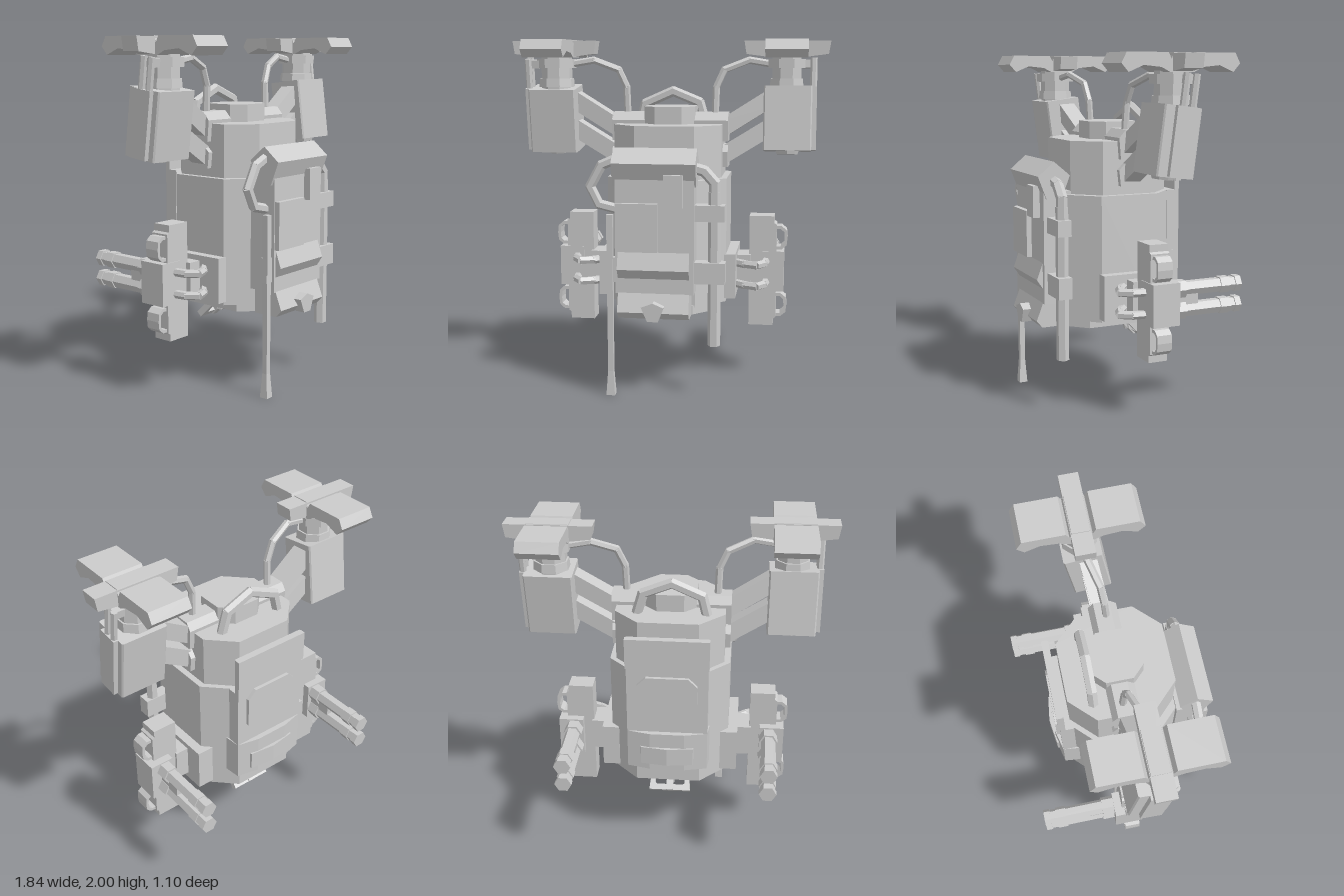
import * as THREE from 'three';

const grey = new THREE.MeshStandardMaterial({ color: 0xcccccc });
grey.name = 'plain grey';

// Faceted mesh with hard edges
function add(parent, name, geo, x = 0, y = 0, z = 0) {
  const g = geo.index ? geo.toNonIndexed() : geo;
  g.computeVertexNormals();
  const m = new THREE.Mesh(g, grey);
  m.name = name;
  m.position.set(x, y, z);
  parent.add(m);
  return m;
}

// Box given by its limits
function box(parent, name, x0, x1, y0, y1, z0, z1) {
  return add(parent, name, new THREE.BoxGeometry(x1 - x0, y1 - y0, z1 - z0),
    (x0 + x1) / 2, (y0 + y1) / 2, (z0 + z1) / 2);
}

const poly = pts => new THREE.Shape(pts.map(p => new THREE.Vector2(p[0], p[1])));
const extrude = (shape, depth) => new THREE.ExtrudeGeometry(shape, { depth, bevelEnabled: false });

// Rectangle with cut corners
const cutRect = (w, h, c) => [[-w + c, -h], [w - c, -h], [w, -h + c], [w, h - c],
  [w - c, h], [-w + c, h], [-w, h - c], [-w, -h + c]];

// Outline in (x, -z) raised from y0 to y1
const upright = (pts, y0, y1) => extrude(poly(pts), y1 - y0).rotateX(-Math.PI / 2).translate(0, y0, 0);

// Outline in (z, y) swept from x0 to x1
const sideways = (pts, x0, x1) => extrude(poly(pts), x1 - x0).rotateY(-Math.PI / 2).translate(x1, 0, 0);

// Rod between two points, flat side forward
function rod(parent, name, a, b, r0, r1 = r0, sides = 6) {
  const p = new THREE.Vector3(...a), q = new THREE.Vector3(...b), d = q.clone().sub(p);
  const m = add(parent, name, new THREE.CylinderGeometry(r1, r0, d.length(), sides, 1, false, Math.PI / sides));
  m.position.copy(p).add(q).multiplyScalar(0.5);
  m.quaternion.setFromUnitVectors(new THREE.Vector3(0, 1, 0), d.normalize());
}

// Angular hose made of straight lengths that overlap at the bends
function hose(parent, name, pts, r) {
  const g = new THREE.Group();
  g.name = name;
  parent.add(g);
  for (let i = 1; i < pts.length; i++) {
    const a = new THREE.Vector3(...pts[i - 1]), b = new THREE.Vector3(...pts[i]);
    const over = b.clone().sub(a).setLength(r * 0.3);
    rod(g, name + 'Length', a.sub(over).toArray(), b.add(over).toArray(), r);
  }
}

function buildBody(root) {
  const g = new THREE.Group();
  g.name = 'body';
  root.add(g);
  add(g, 'lowerBody', upright(cutRect(0.345, 0.335, 0.16), 0.5, 1.22), 0, 0, 0.015);
  add(g, 'upperBody', upright(cutRect(0.31, 0.3, 0.14), 1.2, 1.52), 0, 0, 0.005);
  add(g, 'basePlate', upright(cutRect(0.29, 0.3, 0.12), 0.46, 0.51), 0, 0, 0.06);
  add(g, 'topCap', upright(cutRect(0.148, 0.145, 0.07), 1.5, 1.62));
  // Shoulder axles
  for (const x of [-0.34, 0.14]) {
    add(g, 'upperShoulderAxle', sideways([[-0.07, 1.42], [0.07, 1.42], [0.08, 1.54], [0.04, 1.585], [-0.05, 1.585], [-0.08, 1.54]], x, x + 0.2));
    add(g, 'lowerShoulderAxle', sideways([[-0.07, 1.27], [0.07, 1.27], [0.08, 1.36], [0.04, 1.4], [-0.05, 1.4], [-0.08, 1.36]], x, x + 0.2));
  }
  hose(g, 'carryHandle', [[-0.21, 1.5, -0.16], [-0.18, 1.625, -0.16], [-0.01, 1.7, -0.16], [0.15, 1.635, -0.16], [0.19, 1.5, -0.16]], 0.03);
  // Back armour
  const back = new THREE.Group();
  back.name = 'backArmour';
  g.add(back);
  box(back, 'backPlate', -0.23, 0.23, 0.86, 1.45, -0.36, -0.33);
  box(back, 'backPlateBase', -0.23, 0.23, 0.86, 1.22, -0.34, -0.28);
  box(back, 'backPlateTop', -0.235, 0.235, 1.27, 1.45, -0.37, -0.335);
  add(back, 'raisedPanel', extrude(poly(cutRect(0.17, 0.14, 0.05)), 0.03), 0, 1.08, -0.38);
  add(back, 'lowerBelt', upright([[-0.24, 0.26], [0.24, 0.26], [0.23, 0.36], [0.1, 0.39], [-0.1, 0.39], [-0.23, 0.36]], 0.62, 0.86));
  add(back, 'beltRib', upright([[-0.17, 0.3], [0.17, 0.3], [0.15, 0.39], [0, 0.41], [-0.15, 0.39]], 0.66, 0.77));
  // Towing hitch under the base
  const hitch = new THREE.Group();
  hitch.name = 'hitch';
  hitch.position.set(0, 0.385, -0.14);
  hitch.rotation.x = Math.PI / 4;
  g.add(hitch);
  const frame = poly([[-0.125, -0.08], [0.125, -0.08], [0.11, 0.08], [-0.11, 0.08]]);
  frame.holes.push(new THREE.Path(cutRect(0.09, 0.045, 0.01).map(p => new THREE.Vector2(...p))));
  add(hitch, 'hitchFrame', extrude(frame, 0.04), 0, 0, -0.02);
  box(hitch, 'hitchProng', -0.02, 0.02, -0.08, 0.08, -0.03, 0.03);
  rod(g, 'hitchPost', [0, 0.5, -0.1], [0, 0.35, -0.14], 0.025);
}

function buildFront(root) {
  const g = new THREE.Group();
  g.name = 'frontPack';
  root.add(g);
  box(g, 'packBase', -0.25, 0.19, 0.6, 1.24, 0.31, 0.475);
  add(g, 'topRoll', sideways([[0.37, 1.2], [0.46, 1.2], [0.51, 1.33], [0.415, 1.41], [0.32, 1.33]], -0.265, 0.2));
  box(g, 'largePouch', -0.245, -0.01, 0.84, 1.11, 0.47, 0.505);
  box(g, 'smallPouch', 0.025, 0.13, 1.09, 1.27, 0.46, 0.515);
  add(g, 'lowerPouch', sideways([[0.33, 0.46], [0.48, 0.46], [0.515, 0.5], [0.455, 0.655], [0.51, 0.74], [0.47, 0.85], [0.33, 0.85]], -0.235, 0.165));
  add(g, 'clasp', extrude(poly([[-0.065, 0.03], [-0.03, -0.05], [0.03, -0.05], [0.06, 0.03], [0, 0.055]]), 0.06), -0.03, 0.51, 0.487);
  // Exhaust pipe with brackets
  rod(g, 'exhaustPipe', [0.298, 0.3, 0.41], [0.298, 1.17, 0.41], 0.036);
  hose(g, 'exhaustElbow', [[0.15, 1.31, 0.41], [0.24, 1.285, 0.41], [0.298, 1.22, 0.41], [0.298, 1.1, 0.41]], 0.032);
  box(g, 'upperBracket', 0.18, 0.355, 1.01, 1.1, 0.375, 0.455);
  box(g, 'lowerBracket', 0.18, 0.36, 0.66, 0.78, 0.375, 0.455);
  hose(g, 'sideHose', [[-0.22, 1.36, 0.41], [-0.335, 1.31, 0.41], [-0.4, 1.19, 0.41], [-0.35, 1.09, 0.41], [-0.22, 1.06, 0.41]], 0.028);
  // Antenna
  rod(g, 'antenna', [-0.283, 0.1, 0.45], [-0.283, 1.04, 0.45], 0.021, 0.025, 4);
  rod(g, 'antennaFoot', [-0.283, 0, 0.45], [-0.283, 0.14, 0.45], 0.035, 0.022, 4);
  box(g, 'antennaHolder', -0.3, -0.23, 0.66, 0.8, 0.42, 0.46);
}

// Tower with a long flat head, on the +x side
function buildTower() {
  const t = new THREE.Group();
  t.name = 'tower';
  const cx = 0.68, cz = -0.06;
  rod(t, 'upperArm', [0.28, 1.475, 0], [0.58, 1.665, -0.03], 0.07, 0.07, 4);
  rod(t, 'lowerArm', [0.28, 1.315, 0], [0.58, 1.5, -0.02], 0.07, 0.07, 4);
  const can = new THREE.Group();
  can.name = 'canister';
  can.position.set(cx, 1.545, -0.035);
  can.rotation.x = -0.13;
  t.add(can);
  add(can, 'canisterBox', upright(cutRect(0.138, 0.11, 0.008), -0.185, 0.185));
  add(can, 'canisterPlug', new THREE.CylinderGeometry(0.07, 0.06, 0.03, 8), 0, -0.19, 0);
  box(can, 'canisterRib', 0.13, 0.165, -0.18, 0.185, -0.07, 0.05);
  for (const z of [-0.045, 0.01]) rod(can, 'canisterPipe', [0.145, 0.15, z], [0.145, 0.355, z], 0.02);
  box(can, 'pipeClamp', 0.08, 0.14, 0.3, 0.345, -0.045, 0.01);
  // Neck
  const neckRings = [['neck', 0.09, 0.09, 1.81, 0.2], ['neckRing', 0.115, 0.115, 1.865, 0.05], ['neckCollar', 0.1, 0.105, 1.755, 0.05]];
  for (const [name, top, bottom, y, h] of neckRings) {
    add(t, name, new THREE.CylinderGeometry(top, bottom, h, 8, 1, false, Math.PI / 8), cx - 0.01, y, cz);
  }
  // Head: long plate with drooping ends and grooves beside the cross wing
  const half = [[0.05, 2], [0.062, 1.965], [0.08, 2], [0.315, 2], [0.345, 1.945], [0.305, 1.9], [0.22, 1.935], [0.12, 1.925], [0.07, 1.9]];
  const outline = [...half, ...half.map(([z, y]) => [-z, y]).reverse()];
  add(t, 'headPlate', sideways(outline, 0.555, 0.79), 0, 0, cz);
  add(t, 'crossWing', extrude(poly([[-0.235, -0.08], [-0.12, -0.095], [0.12, -0.095], [0.235, -0.08], [0.247, -0.005], [-0.247, -0.005]]), 0.11),
    0.672, 2, cz - 0.055);
  hose(t, 'feedHose', [[0.6, 1.86, -0.06], [0.45, 1.885, -0.05], [0.31, 1.83, -0.01], [0.265, 1.73, 0], [0.26, 1.55, 0.01]], 0.021);
  return t;
}

// Twin-barrel side mount, on the +x side
function buildSideMount() {
  const g = new THREE.Group();
  g.name = 'sideMount';
  box(g, 'hullPad', 0.3, 0.4, 0.52, 0.78, -0.21, 0.2);
  box(g, 'swivelBlock', 0.39, 0.48, 0.56, 0.75, -0.1, 0.06);
  // Bent cables between hull and mount
  for (const y of [0.585, 0.71]) {
    hose(g, 'cable', [[0.39, y, 0.08], [0.45, y, 0.13], [0.52, y, 0.16], [0.56, y, 0.1], [0.57, y, 0.02]], 0.024);
  }
  const plate = [[0.47, 0.32], [0.615, 0.32], [0.615, 0.36], [0.63, 0.37], [0.63, 0.93], [0.615, 0.94], [0.615, 0.98], [0.47, 0.98]];
  add(g, 'uprightPlate', extrude(poly(plate), 0.115), 0, 0, -0.085);
  box(g, 'housing', 0.53, 0.675, 0.53, 0.77, -0.13, 0.035);
  // Wide strap grips
  const grip = poly([[0, -0.07], [0.03, -0.07], [0.06, -0.045], [0.065, 0], [0.06, 0.045], [0.03, 0.07], [0, 0.07],
    [0, 0.052], [0.025, 0.052], [0.045, 0.035], [0.048, 0], [0.045, -0.035], [0.025, -0.052], [0, -0.052]]);
  for (const y of [0.445, 0.85]) add(g, 'stripGrip', extrude(grip, 0.09), 0.629, y, -0.072);
  // Barrels: each band is [name, start, end, radius]
  const bands = [['barrel', -0.1, -0.54, 0.043], ['barrelSleeve', -0.12, -0.2, 0.054],
    ['barrelBand', -0.42, -0.48, 0.05], ['muzzle', -0.515, -0.552, 0.05]];
  for (const y of [0.595, 0.715]) {
    for (const [name, z0, z1, r] of bands) rod(g, name, [0.585, y, z0], [0.585, y, z1], r);
  }
  box(g, 'barrelClamp', 0.56, 0.61, 0.58, 0.73, -0.28, -0.1);
  return g;
}

export function createModel() {
  const root = new THREE.Group();
  root.name = 'mechanicalPack';
  buildBody(root);
  buildFront(root);
  for (const left of [true, false]) {
    const tower = buildTower();
    tower.name = left ? 'leftTower' : 'rightTower';
    if (!left) tower.rotation.y = Math.PI;
    const mount = buildSideMount();
    mount.name = left ? 'leftSideMount' : 'rightSideMount';
    if (!left) mount.scale.x = -1;
    root.add(tower, mount);
  }
  return root;
}
